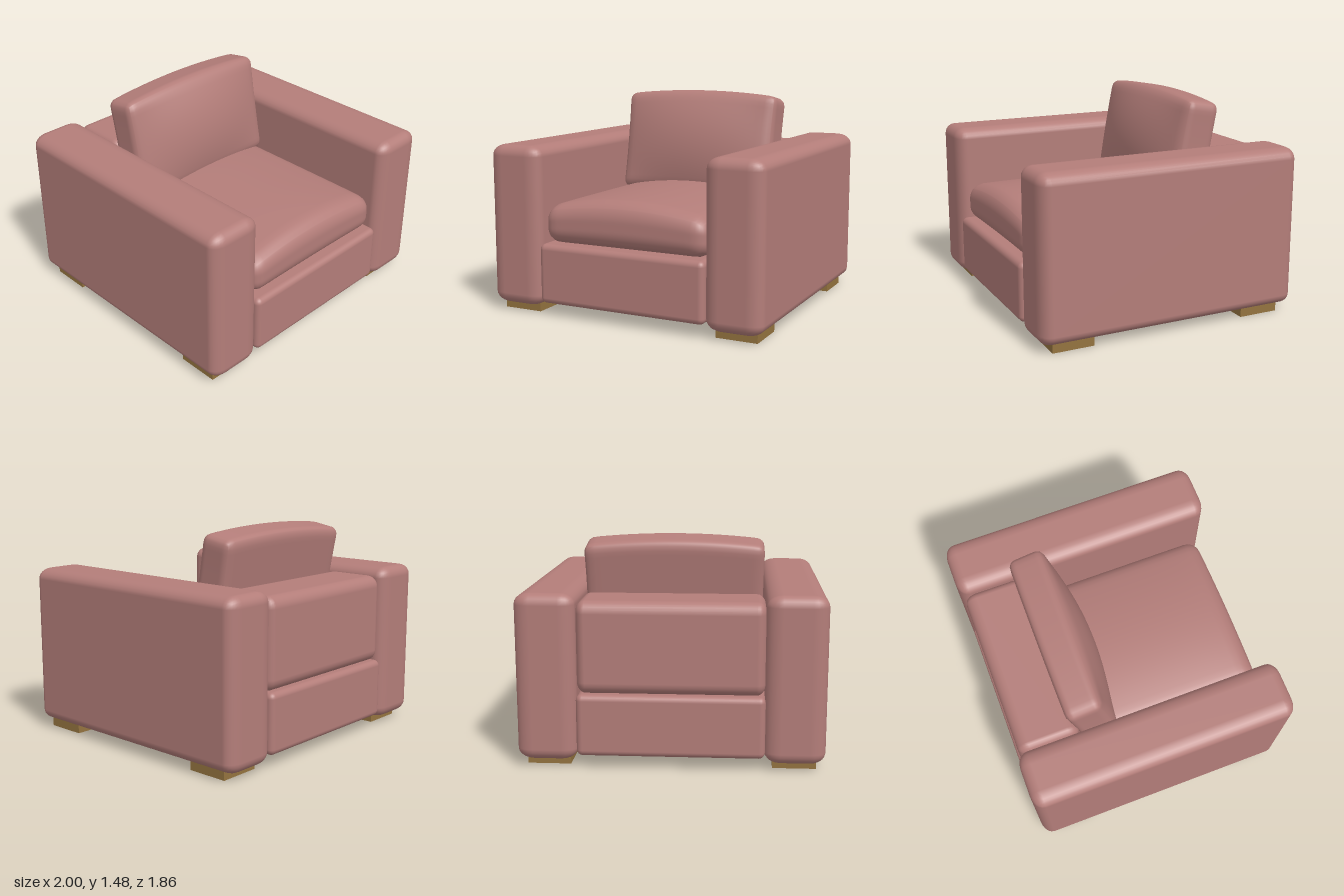
import * as THREE from 'three';
import { RoundedBoxGeometry } from 'three/addons/geometries/RoundedBoxGeometry.js';
import { mergeVertices } from 'three/addons/utils/BufferGeometryUtils.js';

const fabric = new THREE.MeshStandardMaterial({ name: 'rose fabric', color: 0xb37d79 });
const wood = new THREE.MeshStandardMaterial({ name: 'brown wood', color: 0x94733f });

// Box with softened edges; rx is the corner radius along x, r along y and z
function paddedBox(w, h, d, r, rx = r) {
  const k = rx / r;
  return new RoundedBoxGeometry(w / k, h, d, 3, r).scale(k, 1, 1);
}

// Finely divided rounded box whose points are then moved by the bulge rule.
// The rule gets the point and its position in the box as -1..1 fractions.
function cushion(w, h, d, r, bulge) {
  let geo = new THREE.BoxGeometry(w, h, d, 32, 24, 28);
  geo.deleteAttribute('normal');
  geo.deleteAttribute('uv');
  geo = mergeVertices(geo);
  const half = new THREE.Vector3(w / 2, h / 2, d / 2);
  const max = half.clone().subScalar(r);
  const min = max.clone().negate();
  const pos = geo.attributes.position;
  const p = new THREE.Vector3();
  const core = new THREE.Vector3();
  for (let i = 0; i < pos.count; i++) {
    p.fromBufferAttribute(pos, i);
    core.copy(p).clamp(min, max);
    p.sub(core).setLength(r).add(core);
    bulge(p, p.clone().divide(half));
    pos.setXYZ(i, p.x, p.y, p.z);
  }
  geo.computeVertexNormals();
  return geo;
}

export function createModel() {
  const model = new THREE.Group();
  model.name = 'armchair';

  const add = (name, geo, mat, x, y, z) => {
    const mesh = new THREE.Mesh(geo, mat);
    mesh.name = name;
    mesh.position.set(x, y, z);
    model.add(mesh);
    return mesh;
  };

  // Arms and block feet, mirrored left and right
  for (const [side, s] of [['left', 1], ['right', -1]]) {
    add(side + 'Arm', paddedBox(0.395, 1.1, 1.86, 0.075, 0.105), fabric, s * 0.8025, 0.6, 0);
    add(side + 'FrontFoot', new THREE.BoxGeometry(0.285, 0.07, 0.285), wood, s * 0.8025, 0.035, 0.7025);
    add(side + 'BackFoot', new THREE.BoxGeometry(0.285, 0.07, 0.285), wood, s * 0.8025, 0.035, -0.6825);
  }

  // Seat base
  add('base', paddedBox(1.22, 0.41, 1.85, 0.04), fabric, 0, 0.29, 0);

  // Backrest behind the cushions
  add('backrest', paddedBox(1.22, 0.61, 0.435, 0.08, 0.06), fabric, 0, 0.795, -0.6875);

  // Seat cushion, crowned across its width
  const seat = cushion(1.21, 0.25, 1.35, 0.1, (p, f) => {
    const top = (f.y + 1) / 2;
    p.y += 0.08 * top * (1 - f.x * f.x) * (1 - 0.25 * f.z ** 4);
  });
  add('seatCushion', seat, fabric, 0, 0.615, 0.205);

  // Back cushion, leaning back with a full front and arched top
  const back = cushion(1.2, 0.72, 0.25, 0.055, (p, f) => {
    const across = 1 - f.x * f.x;
    const front = (f.z + 1) / 2;
    const top = (f.y + 1) / 2;
    p.z += 0.085 * front * across * (1 - f.y * f.y);
    p.y += 0.035 * top * across;
    p.x *= 1 - 0.015 * (1 - f.y * f.y);
  });
  add('backCushion', back, fabric, 0, 1.075, -0.372).rotation.x = -0.175;

  return model;
}
